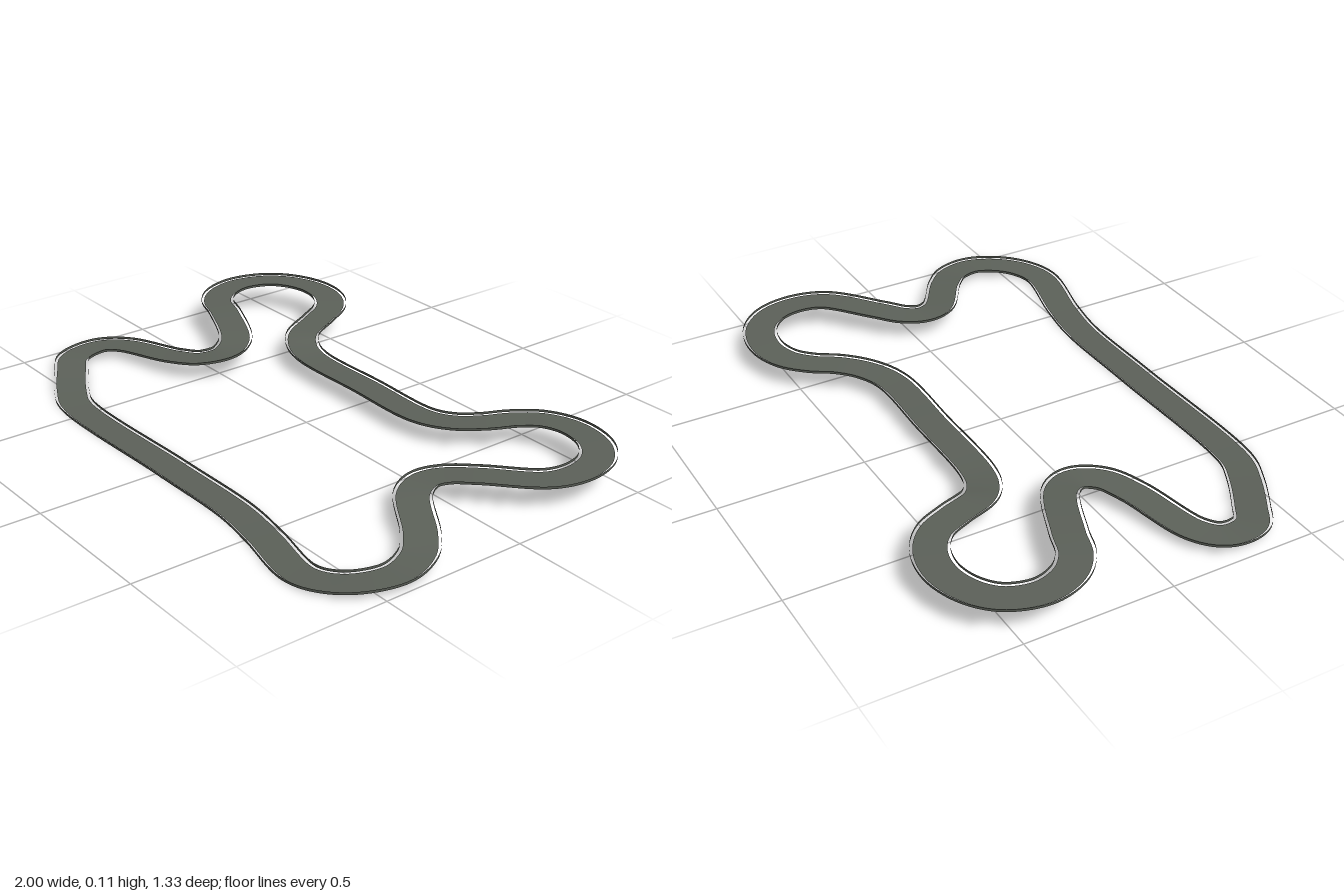
import * as THREE from 'three';

// Centreline of the circuit: [x, y, z], starting mid front straight
const PATH = [
  [0, 0.001, 0.535], [0.35, 0.001, 0.535], [0.52, 0.002, 0.56], [0.755, 0.008, 0.608],
  [0.84, 0.012, 0.58], [0.905, 0.018, 0.515], [0.941, 0.026, 0.41], [0.91, 0.035, 0.31],
  [0.84, 0.044, 0.24], [0.67, 0.062, 0.12], [0.638, 0.069, 0.045], [0.66, 0.073, -0.02],
  [0.73, 0.078, -0.09], [0.88, 0.082, -0.23], [0.907, 0.083, -0.335], [0.88, 0.084, -0.44],
  [0.8, 0.084, -0.515], [0.68, 0.083, -0.54], [0.58, 0.08, -0.51], [0.515, 0.076, -0.445],
  [0.467, 0.072, -0.365], [0.4, 0.066, -0.295], [0.3, 0.062, -0.25], [0, 0.062, -0.25],
  [-0.29, 0.063, -0.255], [-0.38, 0.07, -0.28], [-0.445, 0.082, -0.33], [-0.5, 0.094, -0.445],
  [-0.55, 0.1, -0.535], [-0.63, 0.102, -0.592], [-0.735, 0.102, -0.608], [-0.84, 0.102, -0.575],
  [-0.91, 0.102, -0.51], [-0.941, 0.102, -0.4], [-0.91, 0.102, -0.3], [-0.845, 0.102, -0.237],
  [-0.745, 0.1, -0.2], [-0.54, 0.085, -0.1], [-0.497, 0.073, -0.02], [-0.53, 0.062, 0.06],
  [-0.62, 0.052, 0.11], [-0.84, 0.035, 0.175], [-0.9, 0.029, 0.23], [-0.912, 0.024, 0.29],
  [-0.89, 0.019, 0.36], [-0.82, 0.013, 0.41], [-0.675, 0.004, 0.495], [-0.57, 0.001, 0.535],
];
const STEPS = 480;
const ROAD = 0.05;      // half width of the road
const BARRIER = 0.059;  // barrier distance from the centreline
const HEIGHT = 0.009;   // barrier height

// Closed strip between two rails, each given as [sideways offset, height above the path]
function strip(curve, railA, railB) {
  const positions = [];
  const index = [];
  for (let i = 0; i < STEPS; i++) {
    const p = curve.getPointAt(i / STEPS);
    const t = curve.getTangentAt(i / STEPS);
    const len = Math.hypot(t.x, t.z);
    for (const [side, up] of [railA, railB]) {
      positions.push(p.x - (t.z / len) * side, Math.max(0, p.y) + up, p.z + (t.x / len) * side);
    }
    const a = 2 * i, b = a + 1;
    const c = 2 * ((i + 1) % STEPS), d = c + 1;
    index.push(a, b, d, a, d, c);
  }
  const geometry = new THREE.BufferGeometry();
  geometry.setAttribute('position', new THREE.Float32BufferAttribute(positions, 3));
  geometry.setIndex(index);
  geometry.computeVertexNormals();
  return geometry;
}

export function createModel() {
  const group = new THREE.Group();
  group.name = 'raceTrack';

  const curve = new THREE.CatmullRomCurve3(PATH.map((p) => new THREE.Vector3(...p)), true, 'centripetal');
  curve.arcLengthDivisions = 2000;

  const asphalt = new THREE.MeshStandardMaterial({ color: 0x5c6159, side: THREE.DoubleSide });
  const rail = new THREE.MeshStandardMaterial({ color: 0x52564f, side: THREE.DoubleSide });

  const add = (name, geometry, material) => {
    const mesh = new THREE.Mesh(geometry, material);
    mesh.name = name;
    group.add(mesh);
  };

  // Road surface
  add('road', strip(curve, [-ROAD, 0.001], [ROAD, 0.001]), asphalt);

  // Thin upright barriers along both edges, with a narrow gap to the road
  add('innerBarrier', strip(curve, [-BARRIER, HEIGHT], [-BARRIER, 0]), rail);
  add('outerBarrier', strip(curve, [BARRIER, 0], [BARRIER, HEIGHT]), rail);

  return group;
}
